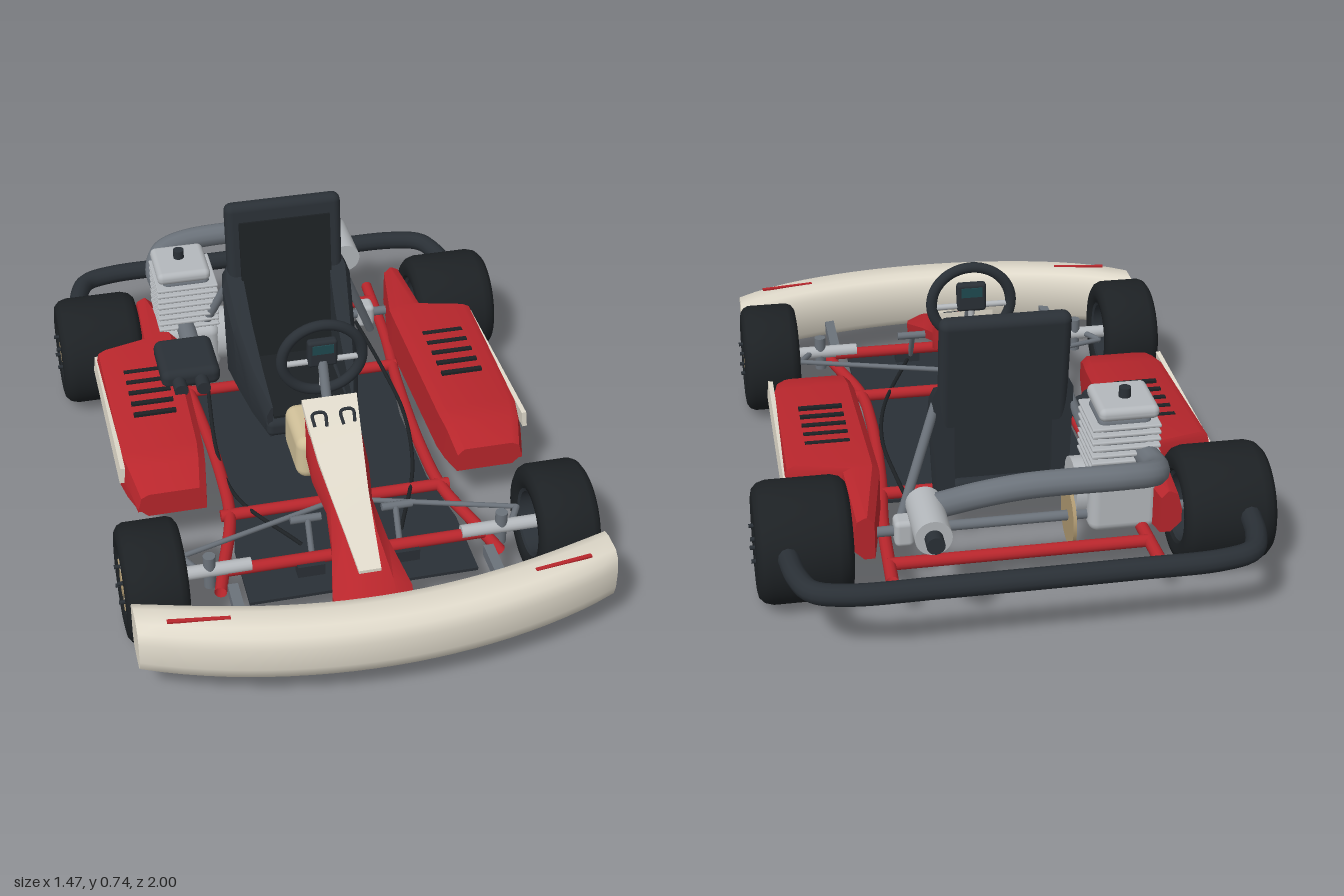
import * as THREE from 'three';
import { toCreasedNormals } from 'three/addons/utils/BufferGeometryUtils.js';
import { RoundedBoxGeometry } from 'three/addons/geometries/RoundedBoxGeometry.js';

const RED = 0xb8262c, DARK = 0x2a3036, BLACK = 0x1d2124, CREAM = 0xe0dacb, GREY = 0x6b727a,
  SILVER = 0xb4b8bc, TAN = 0xb09a72, TANK = 0xcfbf98, SCREEN = 0x1f4a50;
const mats = {};
const mat = (c) => (mats[c] ??= new THREE.MeshStandardMaterial({ color: c, side: THREE.DoubleSide }));
const V = (p) => new THREE.Vector3(...p);
const flip = (p, s) => [p[0] * s, p[1], p[2]];

function add(parent, name, geo, color, pos = [0, 0, 0], rot = [0, 0, 0]) {
  const m = new THREE.Mesh(geo, mat(color));
  m.name = name;
  m.position.set(...pos);
  m.rotation.set(...rot);
  parent.add(m);
  return m;
}
const box = (g, n, size, c, pos, rot) => add(g, n, new THREE.BoxGeometry(...size), c, pos, rot);
const rbox = (g, n, size, r, c, pos, rot) => add(g, n, new RoundedBoxGeometry(...size, 3, r), c, pos, rot);

// Straight round bar between two points
function rod(g, name, a, b, r, c, sides = 16) {
  const d = V(b).sub(V(a));
  const m = add(g, name, new THREE.CylinderGeometry(r, r, d.length(), sides), c);
  m.position.copy(V(a)).addScaledVector(d, 0.5);
  m.quaternion.setFromUnitVectors(new THREE.Vector3(0, 1, 0), d.normalize());
  return m;
}
// Bent tube through points
const pipe = (g, name, pts, r, c, seg = 40) =>
  add(g, name, new THREE.TubeGeometry(new THREE.CatmullRomCurve3(pts.map(V), false, 'centripetal'), seg, r, 12), c);

// Solid skin through a row of equal-length rings, with flat ends
function loft(rings, crease = 0.6) {
  const n = rings[0].length, pos = [], tri = (a, b, c) => pos.push(...a, ...b, ...c);
  for (let i = 0; i < rings.length - 1; i++)
    for (let j = 0; j < n; j++) {
      const k = (j + 1) % n, [a, b, c, d] = [rings[i][j], rings[i][k], rings[i + 1][k], rings[i + 1][j]];
      tri(a, b, c); tri(a, c, d);
    }
  const first = rings[0], last = rings[rings.length - 1];
  for (let j = 1; j < n - 1; j++) {
    tri(first[0], first[j + 1], first[j]);
    tri(last[0], last[j], last[j + 1]);
  }
  // turn all faces outward
  let vol = 0;
  for (let i = 0; i < pos.length; i += 9)
    vol += V(pos.slice(i, i + 3)).dot(V(pos.slice(i + 3, i + 6)).cross(V(pos.slice(i + 6, i + 9))));
  if (vol < 0)
    for (let i = 0; i < pos.length; i += 9)
      for (let k = 3; k < 6; k++) [pos[i + k], pos[i + k + 3]] = [pos[i + k + 3], pos[i + k]];
  const geo = new THREE.BufferGeometry();
  geo.setAttribute('position', new THREE.Float32BufferAttribute(pos, 3));
  return toCreasedNormals(geo, crease);
}

// Wheel with its outer face towards +x
function wheel(name, width) {
  const g = new THREE.Group(), w = width / 2, side = [0, 0, -Math.PI / 2];
  g.name = name;
  const half = [[0.1, 0.88], [0.108, 0.96], [0.13, 1], [0.15, 0.97], [0.165, 0.86], [0.172, 0.68]];
  const prof = [...half.map(([r, t]) => [r, -t * w]), ...half.slice().reverse().map(([r, t]) => [r, t * w]), [0.1, -0.88 * w]];
  add(g, 'tyre', toCreasedNormals(new THREE.LatheGeometry(prof.map((p) => new THREE.Vector2(...p)), 40), 0.6), BLACK, [0, 0, 0], side);
  const rim = [[0.092, -0.85], [0.101, -0.9], [0.101, 0.9], [0.092, 0.85], [0.092, -0.85]];
  add(g, 'rim', toCreasedNormals(new THREE.LatheGeometry(rim.map(([r, t]) => new THREE.Vector2(r, t * w)), 32), 0.5), DARK, [0, 0, 0], side);
  rod(g, 'hub', [w * 0.3, 0, 0], [w * 0.96, 0, 0], 0.035, TAN, 20);
  for (let i = 0; i < 8; i++) {
    const a = (i * Math.PI) / 4;
    box(g, 'spoke', [0.022, 0.07, 0.014], i % 2 ? SILVER : TAN, [w * 0.8, Math.cos(a) * 0.063, Math.sin(a) * 0.063], [a, 0, 0]);
    if (i % 2) rod(g, 'bolt', [w * 0.9, Math.cos(a) * 0.05, Math.sin(a) * 0.05], [w + 0.01, Math.cos(a) * 0.05, Math.sin(a) * 0.05], 0.006, DARK, 6);
  }
  return g;
}

function bodywork(kart) {
  // Curved front bumper: rounded section swept along a bow
  const sec = [[0, 0.03], [0.02, 0.005], [0.05, 0], [0.115, 0.005], [0.14, 0.025], [0.15, 0.06],
    [0.15, 0.13], [0.14, 0.165], [0.115, 0.183], [0.05, 0.183], [0.02, 0.175], [0, 0.15]];
  const rings = [];
  for (let i = 0; i <= 24; i++) {
    const t = i / 12 - 1, k = 1 - 0.08 * Math.pow(Math.abs(t), 6);
    rings.push(sec.map(([d, y]) => [0.675 * t, 0.105 + y * k, 0.845 - 0.13 * t * t + d * k]));
  }
  add(kart, 'frontBumper', loft(rings, 0.9), CREAM);
  // Centre nose panel and its pale cover strip: z, half width below, half width above, bottom, top
  const nose = [[0.2, 0.06, 0.078, 0.34, 0.44], [0.26, 0.085, 0.074, 0.295, 0.395], [0.34, 0.085, 0.066, 0.265, 0.345],
    [0.45, 0.068, 0.056, 0.235, 0.295], [0.58, 0.082, 0.05, 0.19, 0.255], [0.73, 0.115, 0.06, 0.14, 0.205], [0.8, 0.105, 0.06, 0.13, 0.17]];
  add(kart, 'nosePanel', loft(nose.map(([z, a, b, y0, y1]) => [[-a, y0, z], [a, y0, z], [a, (y0 + y1) / 2, z], [b, y1, z], [-b, y1, z], [-a, (y0 + y1) / 2, z]])), RED);
  const strip = [[0.19, 0.083, 0.456], [0.26, 0.077, 0.402], [0.34, 0.069, 0.352], [0.45, 0.056, 0.302], [0.58, 0.043, 0.262], [0.7, 0.032, 0.225]];
  add(kart, 'noseStrip', loft(strip.map(([z, a, y]) => [[-a, y - 0.02, z], [a, y - 0.02, z], [a, y, z], [-a, y, z]])), CREAM);
  for (const s of [1, -1]) {
    pipe(kart, 'noseClip', [[0.025, 0.41, 0.27], [0.025, 0.432, 0.235], [0.06, 0.432, 0.235], [0.06, 0.41, 0.265]].map((p) => flip(p, s)), 0.005, DARK, 16);
    box(kart, 'bumperStripe', [0.17, 0.006, 0.012], RED, [s * 0.51, 0.286, 0.855], [0, s * 0.14, 0]);
    // Side pod: z, inner x, outer x, bottom, top
    const pod = [[0.255, 0.385, 0.59, 0.155, 0.235], [0.17, 0.372, 0.61, 0.14, 0.275], [0.1, 0.365, 0.622, 0.135, 0.283],
      [-0.41, 0.355, 0.625, 0.14, 0.297], [-0.45, 0.355, 0.47, 0.14, 0.297], [-0.7, 0.4, 0.46, 0.15, 0.28]];
    add(kart, 'sidePod', loft(pod.map(([z, a, b, y0, y1]) => [[a, y0, z], [b - 0.03, y0, z], [b, y0 + 0.03, z], [b, y1 - 0.06, z],
      [b - 0.012, y1 - 0.012, z], [b - 0.035, y1, z], [a + 0.02, y1, z], [a, y1 - 0.02, z]].map((p) => flip(p, s)))), RED);
    box(kart, 'podPanel', [0.014, 0.052, 0.6], CREAM, [s * 0.62, 0.242, -0.13], [-0.025, 0, s * 0.1]);
    for (let i = 0; i < 5; i++) box(kart, 'podVent', [0.13, 0.01, 0.016], BLACK, [s * 0.485, 0.291, -0.28 + i * 0.055]);
  }
}

function chassis(kart) {
  const pan = [[0.335, 0.65], [0.335, 0.42], [0.3, 0.22], [0.3, -0.1], [0.33, -0.35]];
  add(kart, 'floorPan', loft(pan.map(([x, z]) => [[-x, 0.112, z], [x, 0.112, z], [x, 0.122, z], [-x, 0.122, z]])), DARK);
  for (const s of [1, -1]) {
    pipe(kart, 'frameRail', [[0.41, 0.14, 0.61], [0.38, 0.14, 0.5], [0.325, 0.14, 0.3], [0.315, 0.14, 0.1], [0.33, 0.14, -0.25], [0.355, 0.14, -0.5], [0.368, 0.14, -0.81]].map((p) => flip(p, s)), 0.018, RED, 60);
    box(kart, 'bumperBracket', [0.03, 0.035, 0.22], GREY, [s * 0.375, 0.15, 0.72]);
    rod(kart, 'spindle', [s * 0.31, 0.177, 0.55], [s * 0.56, 0.177, 0.55], 0.02, SILVER);
    rod(kart, 'kingpin', [s * 0.43, 0.12, 0.55], [s * 0.43, 0.23, 0.55], 0.018, GREY);
    rod(kart, 'tieRod', [s * 0.03, 0.18, 0.34], [s * 0.5, 0.18, 0.48], 0.008, GREY, 8);
    rod(kart, 'steeringArm', [s * 0.5, 0.18, 0.48], [s * 0.46, 0.177, 0.55], 0.01, GREY, 8);
    // Pedal with its arm
    rod(kart, 'pedalArm', [s * 0.13, 0.125, 0.56], [s * 0.13, 0.25, 0.48], 0.009, GREY, 8);
    rod(kart, 'pedal', [s * 0.09, 0.25, 0.475], [s * 0.18, 0.25, 0.475], 0.012, GREY, 10);
    box(kart, 'pedalMount', [0.08, 0.04, 0.04], DARK, [s * 0.14, 0.14, 0.56]);
    rod(kart, 'seatStrut', [s * 0.19, 0.47, -0.43], [s * 0.31, 0.16, -0.53], 0.014, GREY);
    const f = wheel('frontWheel', 0.18), r = wheel('rearWheel', 0.265);
    f.position.set(s * 0.595, 0.174, 0.55);
    r.position.set(s * 0.592, 0.174, -0.605);
    if (s < 0) f.rotation.y = r.rotation.y = Math.PI;
    kart.add(f, r);
  }
  for (const [z, x, y] of [[0.55, 0.38, 0.165], [0.285, 0.35, 0.14], [-0.34, 0.35, 0.14], [-0.72, 0.37, 0.14]])
    rod(kart, 'crossTube', [-x, y, z], [x, y, z], 0.018, RED);
  rod(kart, 'rearAxle', [-0.56, 0.175, -0.605], [0.56, 0.175, -0.605], 0.015, GREY);
  for (const x of [-0.34, 0.31]) rbox(kart, 'axleBearing', [0.055, 0.08, 0.065], 0.015, SILVER, [x, 0.175, -0.605]);
  rod(kart, 'sprocket', [-0.165, 0.175, -0.605], [-0.155, 0.175, -0.605], 0.085, TAN, 32);
  pipe(kart, 'rearBumper', [[-0.64, 0.215, -0.76], [-0.625, 0.215, -0.86], [-0.59, 0.215, -0.935], [-0.5, 0.215, -0.965], [-0.25, 0.215, -0.97],
    [0.25, 0.215, -0.97], [0.5, 0.215, -0.965], [0.59, 0.215, -0.935], [0.625, 0.215, -0.86], [0.64, 0.215, -0.76]], 0.03, DARK, 80);
  pipe(kart, 'brakeCable', [[0.265, 0.18, -0.55], [0.29, 0.17, -0.3], [0.3, 0.16, -0.05], [0.26, 0.15, 0.2], [0.15, 0.16, 0.48]], 0.006, BLACK);
  pipe(kart, 'throttleCable', [[-0.3, 0.28, -0.2], [-0.31, 0.16, 0], [-0.29, 0.15, 0.22], [-0.15, 0.16, 0.48]], 0.006, BLACK);
}

function cockpit(kart) {
  // Seat shell
  rbox(kart, 'seatBack', [0.37, 0.56, 0.055], 0.025, DARK, [0, 0.468, -0.432], [-0.14, 0, 0]);
  box(kart, 'backPad', [0.29, 0.48, 0.012], BLACK, [0, 0.455, -0.4], [-0.14, 0, 0]);
  rbox(kart, 'seatBase', [0.29, 0.06, 0.43], 0.02, DARK, [0, 0.19, -0.235]);
  box(kart, 'basePad', [0.24, 0.012, 0.36], BLACK, [0, 0.222, -0.22]);
  const side = [[-0.03, 0.125, 0.145, 0.27], [-0.16, 0.13, 0.175, 0.325], [-0.3, 0.135, 0.195, 0.405], [-0.41, 0.14, 0.207, 0.51], [-0.45, 0.14, 0.2, 0.53]];
  for (const s of [1, -1])
    add(kart, 'seatSide', loft(side.map(([z, a, b, y]) => [[a, 0.16, z], [b - 0.01, 0.16, z], [b, y - 0.03, z], [b - 0.015, y, z], [a, y, z]].map((p) => flip(p, s)))), DARK);
  // Fuel tank
  rbox(kart, 'fuelTank', [0.18, 0.15, 0.21], 0.035, TANK, [0, 0.2, 0.06]);
  rod(kart, 'tankCap', [0, 0.27, 0.045], [0, 0.305, 0.045], 0.032, DARK, 24);
  // Steering
  const rim = add(kart, 'steeringWheel', new THREE.TorusGeometry(0.115, 0.016, 12, 48), DARK, [0, 0.53, 0.095]);
  rim.scale.x = 1.06;
  rod(kart, 'wheelSpoke', [-0.11, 0.52, 0.095], [0.11, 0.52, 0.095], 0.009, SILVER);
  rod(kart, 'wheelSpoke', [0, 0.52, 0.095], [0, 0.42, 0.095], 0.009, SILVER);
  rbox(kart, 'dashBox', [0.09, 0.09, 0.03], 0.01, DARK, [0, 0.55, 0.095]);
  for (const z of [0.079, 0.111]) box(kart, 'display', [0.065, 0.03, 0.004], SCREEN, [0, 0.568, z]);
  rod(kart, 'steeringColumn', [0, 0.52, 0.1], [0, 0.13, 0.34], 0.015, GREY);
}

function engine(kart) {
  const x = -0.31, z = -0.55;
  rbox(kart, 'crankcase', [0.2, 0.17, 0.2], 0.03, SILVER, [x, 0.215, z]);
  rod(kart, 'clutchCover', [-0.22, 0.225, -0.53], [-0.18, 0.225, -0.53], 0.085, SILVER, 28);
  rod(kart, 'clutch', [-0.18, 0.225, -0.53], [-0.165, 0.225, -0.53], 0.045, TAN, 24);
  rbox(kart, 'cylinder', [0.15, 0.2, 0.15], 0.02, GREY, [x, 0.38, z]);
  for (let i = 0; i < 8; i++) rbox(kart, 'coolingFin', [0.195, 0.01, 0.19], 0.004, SILVER, [x, 0.31 + i * 0.021, z]);
  rbox(kart, 'cylinderHead', [0.17, 0.04, 0.18], 0.018, SILVER, [x - 0.008, 0.495, z]);
  rod(kart, 'sparkPlug', [x - 0.01, 0.51, z - 0.01], [x - 0.01, 0.543, z - 0.01], 0.017, DARK);
  // Intake
  rbox(kart, 'airBox', [0.185, 0.065, 0.2], 0.025, DARK, [-0.35, 0.305, -0.28]);
  rod(kart, 'carburettor', [-0.32, 0.3, -0.36], [-0.32, 0.3, -0.47], 0.03, GREY);
  for (const ix of [-0.39, -0.32]) rod(kart, 'intakeHorn', [ix, 0.3, -0.2], [ix, 0.3, -0.135], 0.022, DARK);
  // Exhaust
  pipe(kart, 'exhaustPipe', [[-0.37, 0.36, -0.63], [-0.375, 0.37, -0.72], [-0.345, 0.395, -0.79], [-0.26, 0.41, -0.82], [0, 0.41, -0.822],
    [0.13, 0.385, -0.805], [0.21, 0.345, -0.765], [0.25, 0.325, -0.745]], 0.036, GREY, 60);
  rod(kart, 'silencer', [0.268, 0.325, -0.905], [0.268, 0.325, -0.72], 0.05, SILVER, 28);
  rod(kart, 'tailPipe', [0.268, 0.325, -0.945], [0.268, 0.325, -0.9], 0.025, DARK);
}

export function createModel() {
  const kart = new THREE.Group();
  kart.name = 'kart';
  bodywork(kart);
  chassis(kart);
  cockpit(kart);
  engine(kart);
  return kart;
}
